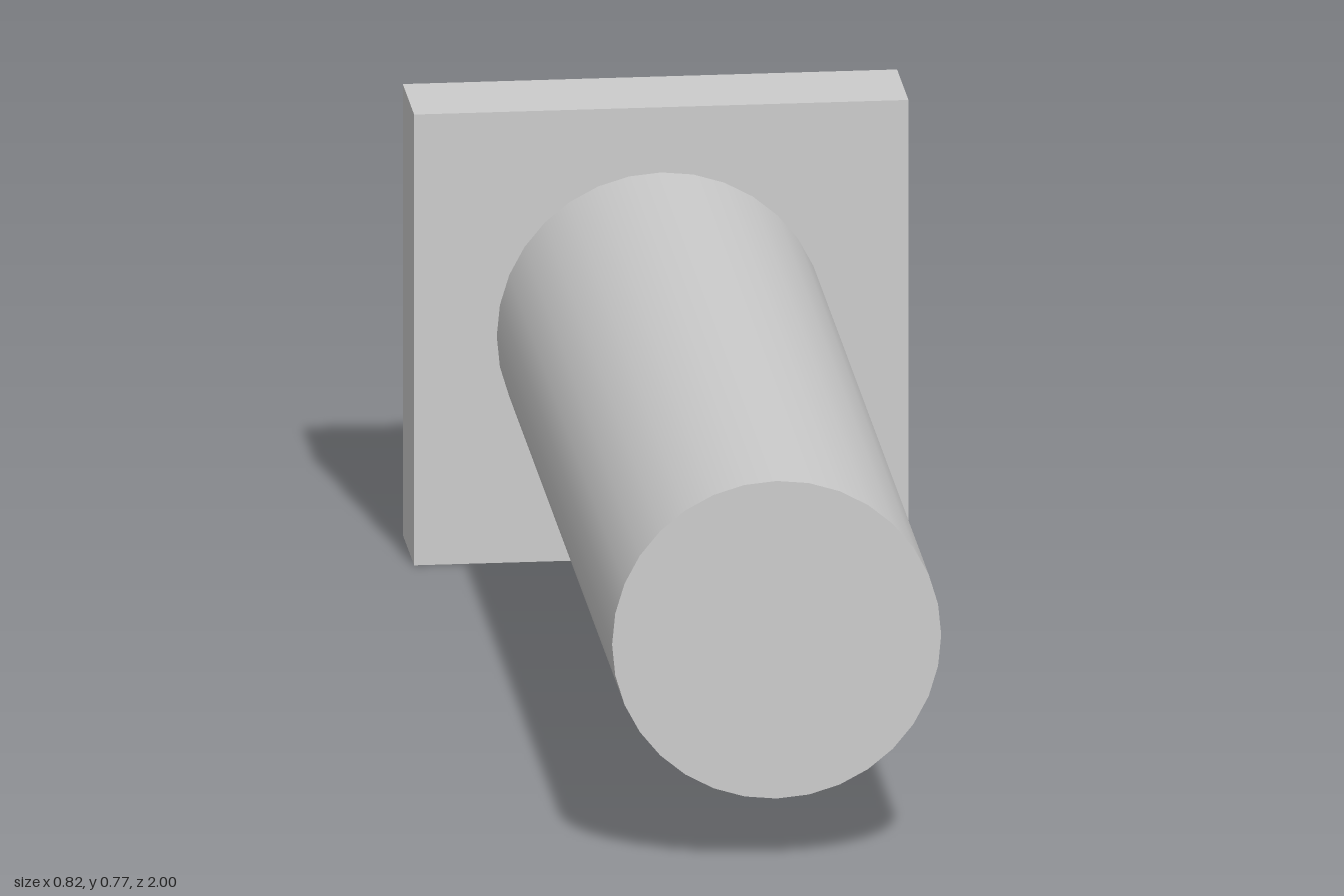
import * as THREE from 'three';

export function createModel() {
  const group = new THREE.Group();
  const material = new THREE.MeshStandardMaterial({ color: 0xcccccc });
  const back = -1, front = 1, plateDepth = 0.18, plateHeight = 0.775;
  const plateFront = back + plateDepth;

  // Rectangular plate at the back
  const plate = new THREE.Mesh(new THREE.BoxGeometry(0.82, plateHeight, plateDepth), material);
  plate.name = 'basePlate';
  plate.position.set(0, plateHeight / 2, back + plateDepth / 2);
  group.add(plate);

  // Round shaft running forward from the plate
  const length = front - plateFront;
  const shaftGeometry = new THREE.CylinderGeometry(0.273, 0.273, length, 32);
  shaftGeometry.rotateX(Math.PI / 2);
  const shaft = new THREE.Mesh(shaftGeometry, material);
  shaft.name = 'shaft';
  shaft.position.set(0, 0.39, plateFront + length / 2);
  group.add(shaft);

  return group;
}
